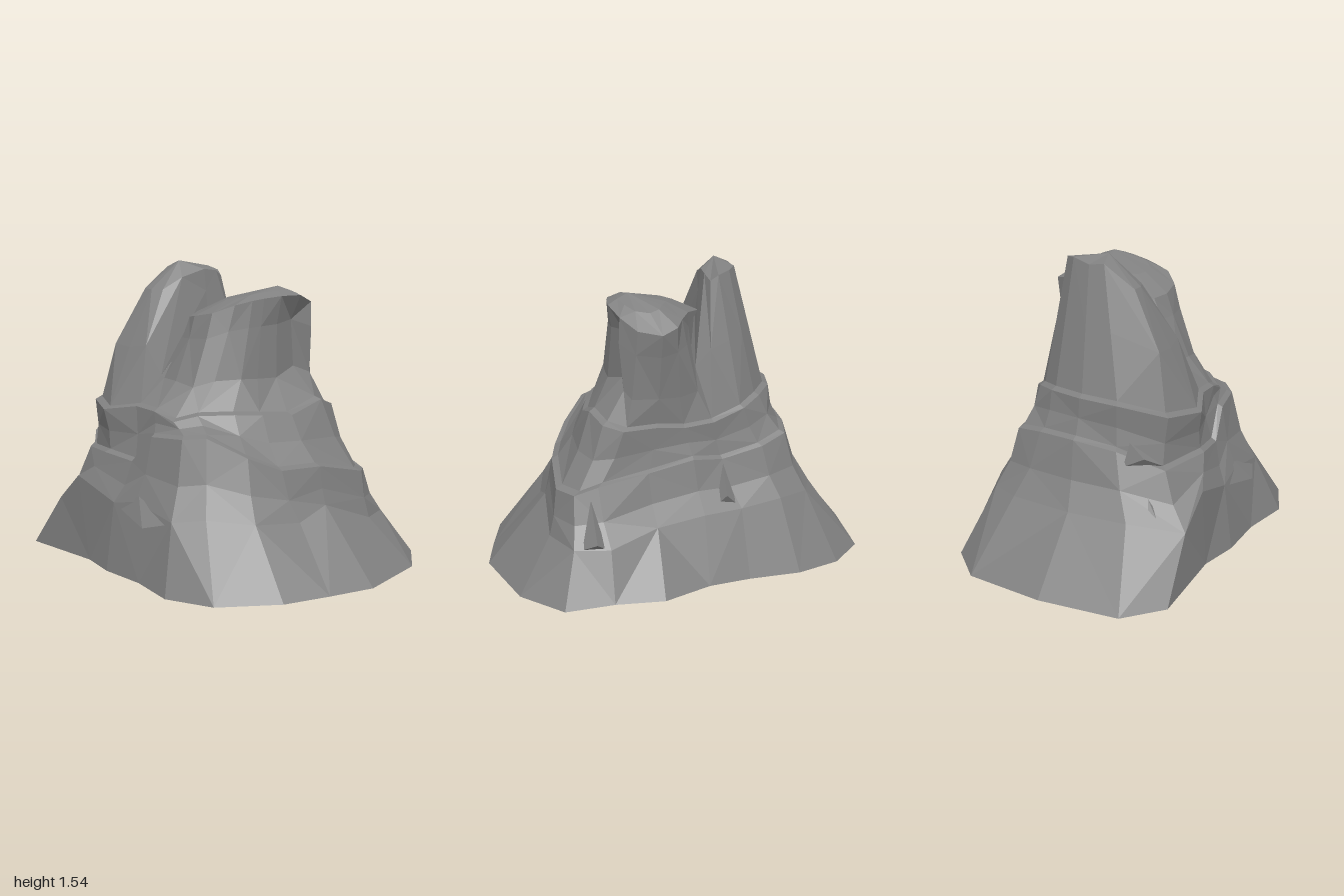
import * as THREE from 'three';

// Cross-sections [x, y, z], running from the front round by +x, the back and -x
const foot = [[-.05, 0, .72], [.22, 0, .71], [.5, 0, .755], [.74, 0, .65], [.91, 0, .37], [.96, 0, .12], [1, 0, -.13],
  [.87, 0, -.55], [.67, 0, -.76], [.42, 0, -.73], [.17, 0, -.74], [-.08, 0, -.62], [-.3, 0, -.58], [-.57, 0, -.56],
  [-.8, 0, -.47], [-.97, 0, -.28], [-1, 0, .14], [-.95, 0, .56], [-.76, 0, .72], [-.27, 0, .68]];
const skirt = [[-.05, .35, .67], [.12, .38, .65], [.4, .33, .64], [.53, .35, .53], [.66, .32, .33], [.7, .3, .08],
  [.69, .36, -.1], [.7, .25, -.4], [.6, .24, -.59], [.42, .24, -.62], [.17, .3, -.53], [-.08, .33, -.49],
  [-.28, .34, -.46], [-.5, .36, -.41], [-.66, .36, -.33], [-.72, .36, -.18], [-.72, .35, .14], [-.69, .35, .45],
  [-.53, .29, .69], [-.35, .44, .69]];
const lowerLedge = [[0, .56, .59], [.13, .7, .56], [.33, .71, .52], [.42, .72, .44], [.54, .62, .28], [.61, .55, .12],
  [.65, .55, -.1], [.66, .49, -.38], [.58, .48, -.47], [.46, .52, -.48], [.2, .56, -.44], [-.04, .6, -.4],
  [-.2, .58, -.36], [-.42, .62, -.32], [-.56, .66, -.25], [-.59, .68, -.1], [-.6, .68, .1], [-.56, .65, .32],
  [-.46, .56, .54], [-.2, .58, .62]];
const upperLedge = [[-.04, .83, .53], [.1, .82, .52], [.22, .78, .49], [.3, .81, .4], [.39, .81, .24], [.44, .8, .1],
  [.48, .79, -.06], [.47, .85, -.27], [.42, .81, -.39], [.32, .78, -.42], [.15, .78, -.39], [0, .76, -.36],
  [-.16, .77, -.33], [-.33, .82, -.28], [-.43, .86, -.2], [-.51, .88, -.08], [-.54, .88, .1], [-.52, .87, .3],
  [-.42, .82, .53], [-.22, .8, .61]];
// Saddle between the two peaks, front to back
const saddle = [[-.06, .97, .36], [-.13, 1.27, 0], [-.09, 1.03, -.2]];
const finTop = [[-.18, 1.46, -.13], [-.22, 1.49, -.14], [-.28, 1.51, -.12], [-.32, 1.52, -.06], [-.34, 1.5, .04],
  [-.33, 1.51, .12], [-.31, 1.4, .28], [-.25, 1.4, .28], [-.19, 1.4, .25], [-.17, 1.46, .14], [-.16, 1.5, 0],
  [-.16, 1.49, -.08]];
const domeTop = [[0, 1.27, .22], [.08, 1.28, .25], [.2, 1.3, .23], [.28, 1.34, .15], [.31, 1.36, .06], [.33, 1.37, 0],
  [.35, 1.38, -.1], [.36, 1.38, -.22], [.32, 1.34, -.33], [.24, 1.28, -.39], [.12, 1.26, -.42], [.04, 1.29, -.39],
  [0, 1.31, -.3], [-.05, 1.32, -.2], [-.14, 1.29, -.03], [-.06, 1.29, .12]];

const mix = (a, b, t) => a + (b - a) * t;
// Blend two sections with separate horizontal and vertical amounts
const blend = (a, b, h, v) => a.map((p, i) => [mix(p[0], b[i][0], h), mix(p[1], b[i][1], v), mix(p[2], b[i][2], h)]);
// Shrink a section toward an axis and lift it
const inset = (r, s, lift, cx = -.03, cz = .06) =>
  r.map(([x, y, z]) => [mix(cx, x, s), y + lift, mix(cz, z, s)]);

function meshFrom(name, points, material) {
  const g = new THREE.BufferGeometry();
  g.setAttribute('position', new THREE.Float32BufferAttribute(points.flat(), 3));
  g.computeVertexNormals();
  const mesh = new THREE.Mesh(g, material);
  mesh.name = name;
  return mesh;
}

// Faceted skin through closed sections, with an optional top point
function loft(name, rings, material, tip) {
  const out = [];
  const n = rings[0].length;
  for (let k = 0; k < rings.length; k++) {
    for (let i = 0; i < n; i++) {
      const j = (i + 1) % n, a = rings[k][i], b = rings[k][j];
      if (k < rings.length - 1) {
        const c = rings[k + 1][j], d = rings[k + 1][i];
        if ((i + k) % 2) out.push(a, b, c, a, c, d);
        else out.push(a, b, d, b, c, d);
      } else if (tip) out.push(a, b, tip);
    }
  }
  return meshFrom(name, out, material);
}

// Sharp rock splinter: three corners sunk in the slope and one jutting out
const crag = (name, top, left, right, out, material) =>
  meshFrom(name, [top, left, out, top, out, right, left, right, out], material);

export function createModel() {
  const group = new THREE.Group();
  const rock = new THREE.MeshStandardMaterial({ color: 0x808080, side: THREE.DoubleSide });
  rock.name = 'grey rock';
  rock.flatShading = true;

  // Flared foot and cliff, open underneath
  const lowerLip = inset(lowerLedge, .95, .015);
  group.add(loft('lowerCliff', [foot, skirt, blend(skirt, lowerLedge, .6, .42), lowerLedge, lowerLip], rock));

  // Band between the ledges, slightly waisted
  const upperLip = inset(upperLedge, .94, .015);
  const waist = inset(blend(lowerLip, upperLedge, .5, .45), .98, 0);
  group.add(loft('shoulder', [lowerLip, waist, upperLedge, upperLip], rock));

  // Narrow peak on the model's right, bulging forward with a groove down its front
  const finBase = [...upperLip.slice(12), upperLip[0], ...saddle];
  const finMid = blend(finBase, finTop, .5, .5);
  finMid[6][2] += .05;
  finMid[7][2] += .01;
  finMid[8][2] += .04;
  group.add(loft('narrowPeak', [finBase, finMid, finTop], rock, [-.25, 1.545, .1]));

  // Broad peak: steep waist, hollow on the back left, sloping cap
  const domeBase = [...upperLip.slice(0, 13), ...[...saddle].reverse()];
  const steep = (ring, limit) => ring.map(([x, y, z]) => [Math.min(x, limit), y, z]);
  const low = steep(inset(blend(domeBase, domeTop, .4, .28), .96, 0, .14, -.05), .345);
  const high = steep(inset(blend(domeBase, domeTop, .8, .75), .97, 0, .14, -.08), .325);
  low[7][0] -= .05;
  low[8][0] -= .04;
  high[7][0] -= .04;
  const cap = blend(domeTop, domeTop.map(() => [.23, 1.425, -.15]), .4, .55);
  group.add(loft('broadPeak', [domeBase, low, high, domeTop, cap], rock, [.25, 1.425, -.16]));

  // Splinters and overhangs on the slopes
  [
    [[.13, .41, .64], [-.05, .34, .66], [.39, .32, .63], [.24, .28, .7]],
    [[-.56, .44, .5], [-.66, .2, .55], [-.52, .2, .66], [-.6, .26, .62]],
    [[-.53, .7, .38], [-.56, .58, .36], [-.45, .58, .52], [-.53, .63, .46]],
    [[.5, .46, -.49], [.56, .24, -.59], [.44, .24, -.6], [.49, .28, -.64]],
    [[-.2, .56, -.37], [-.15, .36, -.44], [-.26, .36, -.44], [-.2, .42, -.47]],
  ].forEach((c, i) => group.add(crag('crag' + (i + 1), ...c, rock)));

  return group;
}
